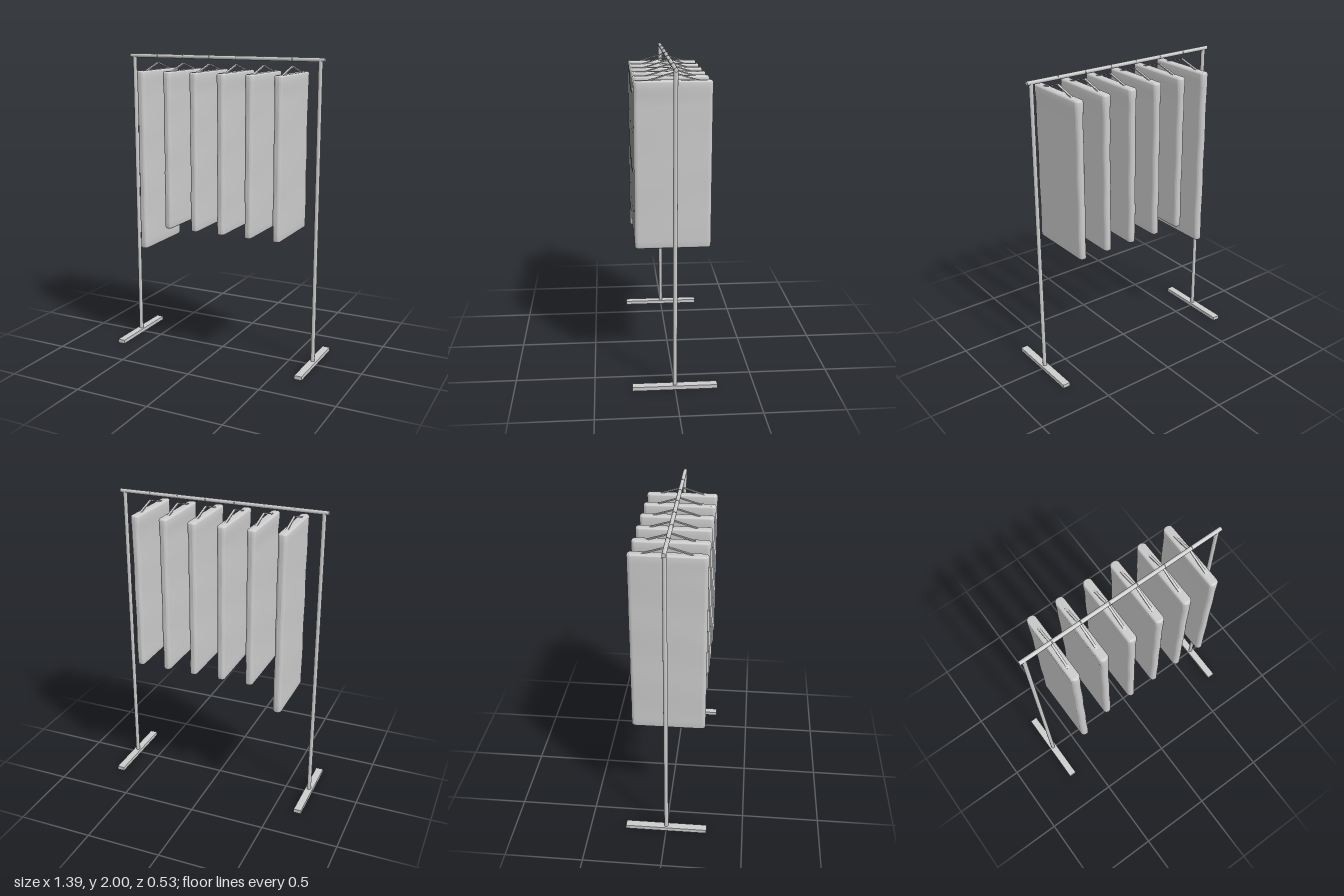
import * as THREE from 'three';
import { toCreasedNormals } from 'three/addons/utils/BufferGeometryUtils.js';

const material = new THREE.MeshStandardMaterial({ color: 0xcccccc });

function addPart(parent, name, geometry, x = 0, y = 0, z = 0) {
  const mesh = new THREE.Mesh(geometry, material);
  mesh.name = name;
  mesh.position.set(x, y, z);
  parent.add(mesh);
  return mesh;
}

// Rounded rectangle outline, w by d, centred on the origin
function roundedRect(w, d, r) {
  const a = w / 2 - r, b = d / 2 - r;
  const s = new THREE.Shape();
  s.absarc(a, b, r, 0, Math.PI / 2);
  s.absarc(-a, b, r, Math.PI / 2, Math.PI);
  s.absarc(-a, -b, r, Math.PI, Math.PI * 1.5);
  s.absarc(a, -b, r, Math.PI * 1.5, Math.PI * 2);
  s.closePath();
  return s;
}

// Soft hanging slab, a little thicker at the shoulders and gently uneven below
function garmentGeometry(bottom, top, seed, waist) {
  const bevel = 0.012;
  let geo = new THREE.ExtrudeGeometry(roundedRect(0.06 - 2 * bevel, 0.47 - 2 * bevel, 0.014), {
    depth: top - bottom - 2 * bevel, steps: 28, curveSegments: 5,
    bevelEnabled: true, bevelSize: bevel, bevelThickness: bevel, bevelSegments: 3,
  });
  geo.rotateX(-Math.PI / 2);
  geo.translate(0, bottom + bevel, 0);
  const p = geo.attributes.position;
  for (let i = 0; i < p.count; i++) {
    const y = p.getY(i), z = p.getZ(i);
    const shoulder = THREE.MathUtils.smoothstep(y, 1.78, 1.85);
    const ripple = 0.0015 * Math.sin(y * 17 + seed * 2.1 + z * 5) * (1 - shoulder);
    p.setX(i, p.getX(i) * THREE.MathUtils.lerp(waist, 1, shoulder) + ripple);
  }
  return toCreasedNormals(geo, 0.7);
}

export function createModel() {
  const group = new THREE.Group();
  group.name = 'clothesRack';

  // Frame: top rail, two posts and two flat feet
  const rail = new THREE.CylinderGeometry(0.013, 0.013, 1.39, 20);
  rail.rotateZ(Math.PI / 2);
  addPart(group, 'rail', rail, 0, 1.985, 0);
  for (const side of [-1, 1]) {
    const label = side > 0 ? 'left' : 'right';
    addPart(group, label + 'Post', new THREE.CylinderGeometry(0.0135, 0.0135, 1.97, 20), side * 0.665, 1.0, 0);
    addPart(group, label + 'Foot', new THREE.BoxGeometry(0.05, 0.025, 0.53), side * 0.665, 0.0125, 0);
  }

  // Six garments on hangers; the one at the right end is longer
  for (let i = 0; i < 6; i++) {
    const unit = new THREE.Group();
    unit.name = 'hangingGarment' + (i + 1);
    unit.position.x = (i - 2.5) * 0.193;
    group.add(unit);

    const bottom = i === 0 ? 0.71 : 0.87;
    addPart(unit, 'garment', garmentGeometry(bottom, 1.9, i, i === 0 ? 0.92 : 0.86));

    // Hanger: two sloping arms and a thin loop around the rail
    for (const side of [-1, 1]) {
      const arm = addPart(unit, 'hangerArm', new THREE.BoxGeometry(0.014, 0.007, 0.17), 0, 1.918, side * 0.08);
      arm.rotation.x = side * 0.29;
    }
    const loop = new THREE.TorusGeometry(0.0125, 0.0025, 8, 24);
    loop.rotateY(Math.PI / 2);
    addPart(unit, 'hangerHook', loop, 0, 1.985, 0);
  }
  return group;
}
